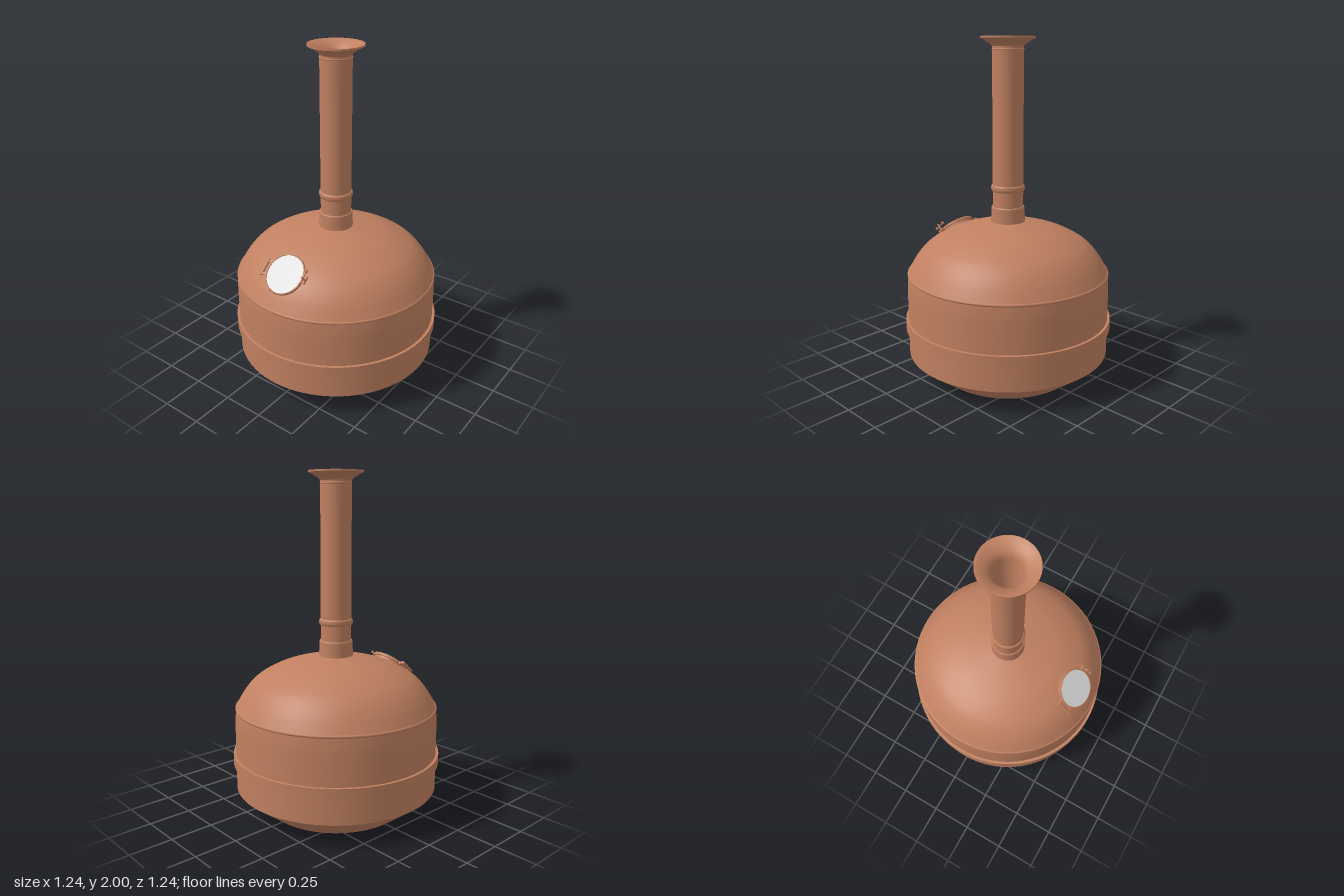
import * as THREE from 'three';
import { toCreasedNormals } from 'three/addons/utils/BufferGeometryUtils.js';

const copper = new THREE.MeshStandardMaterial({ color: 0xc08060 });
copper.name = 'copper';
const glass = new THREE.MeshStandardMaterial({ color: 0xdcdcdc });
glass.name = 'pale glass';

const V = (x, y) => new THREE.Vector2(x, y);

function add(parent, name, geometry, x = 0, y = 0, z = 0, material = copper) {
  const mesh = new THREE.Mesh(geometry, material);
  mesh.name = name;
  mesh.position.set(x, y, z);
  parent.add(mesh);
  return mesh;
}

// Turned part from [radius, height] pairs, hard edges kept sharp
function turned(points, segments = 96) {
  const pts = points.map(p => V(p[0], p[1]));
  return toCreasedNormals(new THREE.LatheGeometry(pts, segments), 0.5);
}

// Closed ring with a rectangular section
function band(r0, r1, y0, y1) {
  return turned([[r0, y0], [r1, y0], [r1, y1], [r0, y1]]);
}

// Ring with a rounded section, lying flat
function roundRing(radius, tube) {
  return new THREE.TorusGeometry(radius, tube, 12, 72).rotateX(Math.PI / 2);
}

function createHatch() {
  const hatch = new THREE.Group();
  hatch.name = 'hatch';
  hatch.position.set(0, 0.805, 0.469);
  hatch.rotation.x = 0.72;

  // Neck, rim and pane
  add(hatch, 'hatchNeck', new THREE.CylinderGeometry(0.112, 0.112, 0.07, 48), 0, -0.028, 0);
  add(hatch, 'hatchRim', turned([
    [0.1, -0.004], [0.121, -0.004], [0.123, 0.004], [0.121, 0.012], [0.115, 0.014], [0.113, 0.009],
  ], 48));
  add(hatch, 'hatchPane', new THREE.CylinderGeometry(0.115, 0.115, 0.006, 48), 0, 0.008, 0, glass);

  // Hinge on one side
  add(hatch, 'hingePin', new THREE.CylinderGeometry(0.009, 0.009, 0.105, 16).rotateX(Math.PI / 2), -0.146, 0.008, 0);
  for (const s of [-1, 1]) {
    add(hatch, 'hingeArm', new THREE.BoxGeometry(0.045, 0.012, 0.014), -0.13, 0.006, s * 0.04);
  }
  add(hatch, 'hingePlate', new THREE.BoxGeometry(0.014, 0.014, 0.09), -0.119, 0, 0);

  // Swing clamp on the other side
  add(hatch, 'clampBracket', new THREE.BoxGeometry(0.03, 0.014, 0.045), 0.123, 0.002, -0.01);
  add(hatch, 'clampBolt', new THREE.CylinderGeometry(0.006, 0.006, 0.05, 12), 0.132, 0.022, -0.01);
  add(hatch, 'clampHandle', new THREE.CylinderGeometry(0.005, 0.005, 0.075, 12).rotateX(Math.PI / 2), 0.132, 0.03, -0.018);
  for (const z of [-0.055, 0.02]) {
    add(hatch, 'handleKnob', new THREE.SphereGeometry(0.009, 14, 10), 0.132, 0.03, z);
  }
  return hatch;
}

export function createModel() {
  const model = new THREE.Group();
  model.name = 'brewingKettle';

  // Vessel body with tapered base
  add(model, 'vesselBody', turned([
    [0, 0], [0.42, 0], [0.605, 0.14], [0.605, 0.53], [0.603, 0.58], [0.598, 0.625],
  ]));
  add(model, 'waistBand', band(0.6, 0.621, 0.293, 0.355));
  add(model, 'shoulderRing', roundRing(0.594, 0.0095), 0, 0.631, 0);

  // Domed lid with a flared foot
  const domeCurve = new THREE.SplineCurve([
    V(0.597, 0.638), V(0.578, 0.672), V(0.55, 0.718), V(0.51, 0.768), V(0.455, 0.815),
    V(0.36, 0.866), V(0.27, 0.898), V(0.17, 0.922), V(0.08, 0.939), V(0, 0.943),
  ]);
  const domePts = domeCurve.getPoints(40);
  domePts[40].x = 0;
  add(model, 'dome', new THREE.LatheGeometry(domePts, 96));

  // Chimney, hollow, opening into a trumpet mouth
  add(model, 'chimney', turned([
    [0.09, 0.925], [0.09, 1.945], [0.097, 1.955], [0.113, 1.966], [0.135, 1.98], [0.157, 1.99],
    [0.157, 2], [0.151, 1.999], [0.13, 1.988], [0.11, 1.975], [0.094, 1.961], [0.083, 1.945],
    [0.077, 1.92], [0.077, 0.925],
  ], 64));
  add(model, 'chimneyCollar', turned([
    [0.086, 0.93], [0.101, 0.93], [0.1, 0.96], [0.098, 1.022], [0.094, 1.028], [0.086, 1.028],
  ], 64));
  add(model, 'chimneyRing', turned([
    [0.086, 1.118], [0.093, 1.119], [0.098, 1.126], [0.1, 1.138], [0.098, 1.15], [0.093, 1.156], [0.086, 1.157],
  ], 64));
  add(model, 'mouthRing', roundRing(0.088, 0.005), 0, 1.93, 0);

  model.add(createHatch());
  return model;
}
